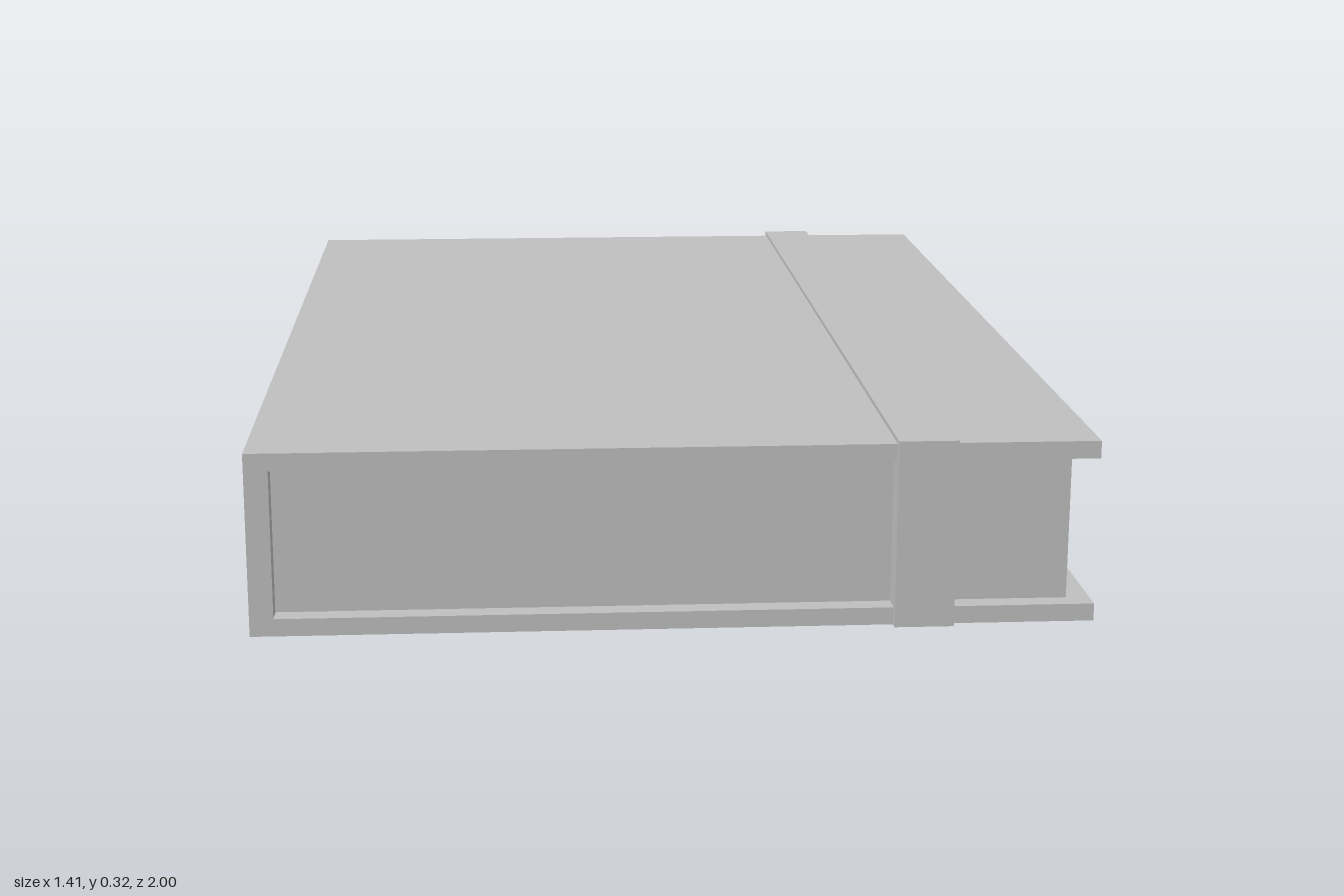
import * as THREE from 'three';

export function createModel() {
  const book = new THREE.Group();
  book.name = 'book';
  const grey = new THREE.MeshStandardMaterial({ color: 0xbfbfbf });
  grey.name = 'plain grey';

  // Box given by its lower and upper limits on each axis
  const block = (name, [x0, x1], [y0, y1], [z0, z1]) => {
    const mesh = new THREE.Mesh(new THREE.BoxGeometry(x1 - x0, y1 - y0, z1 - z0), grey);
    mesh.position.set((x0 + x1) / 2, (y0 + y1) / 2, (z0 + z1) / 2);
    mesh.name = name;
    book.add(mesh);
  };

  // Hard cover: two boards joined by the spine, one C-shaped profile
  const W = 0.705, H = 0.313, D = 0.985, board = 0.03, spine = 0.04;
  const profile = new THREE.Shape([
    [-W, 0], [W, 0], [W, board], [-W + spine, board],
    [-W + spine, H - board], [W, H - board], [W, H], [-W, H],
  ].map(([x, y]) => new THREE.Vector2(x, y)));
  const coverGeometry = new THREE.ExtrudeGeometry(profile, { depth: 2 * D, bevelEnabled: false });
  coverGeometry.translate(0, 0, -D);
  const cover = new THREE.Mesh(coverGeometry, grey);
  cover.name = 'cover';
  book.add(cover);

  // Page block, set back from the three open edges
  block('pages', [-W + spine, 0.665], [board, H - board], [-0.95, 0.95]);

  // Closing strap: over the top and down both ends, flush underneath
  const strapX = [0.365, 0.465];
  block('strapTop', strapX, [H, 0.321], [-1, 1]);
  block('strapFront', strapX, [0, H], [0.95, 1]);
  block('strapBack', strapX, [0, H], [-1, -0.95]);

  return book;
}
